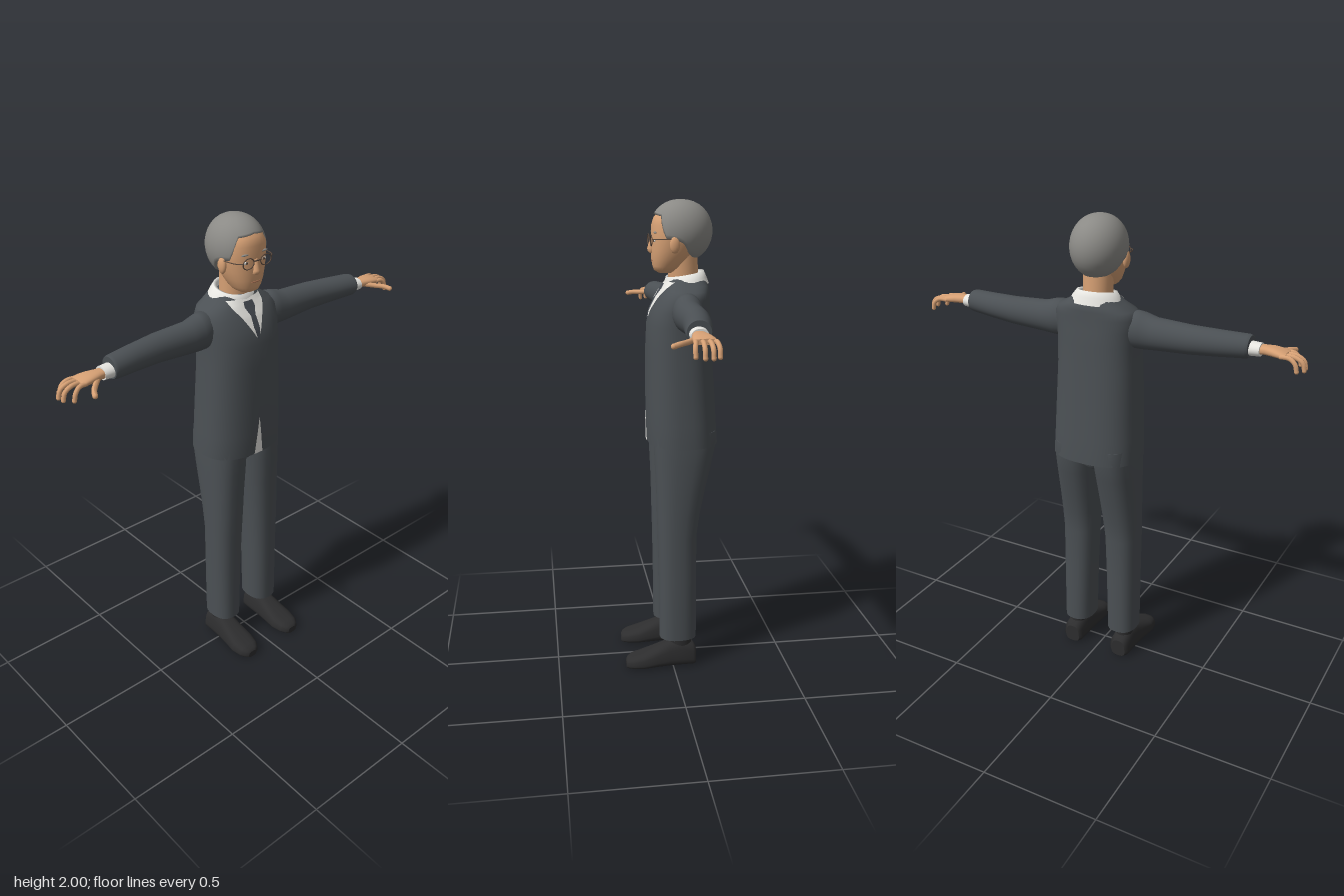
import * as THREE from 'three';

const mat = (name, color, side = THREE.FrontSide) => {
  const m = new THREE.MeshStandardMaterial({ color, side });
  m.name = name;
  return m;
};

// Superellipse coordinate
const sup = (t, n) => Math.sign(t) * Math.abs(t) ** (2 / n);

function surface(rows, closed) {
  // rows of [x, y, z] points, joined in quads
  const m = rows[0].length, index = [];
  for (let i = 0; i < rows.length - 1; i++) {
    for (let j = 0; j < (closed ? m : m - 1); j++) {
      const k = (j + 1) % m, a = i * m + j, b = i * m + k, c = a + m, d = b + m;
      index.push(a, c, b, b, c, d);
    }
  }
  const g = new THREE.BufferGeometry();
  g.setAttribute('position', new THREE.Float32BufferAttribute(rows.flat(2), 3));
  g.setIndex(index);
  g.computeVertexNormals();
  return g;
}

// Loft through rings [y, x, z, rx, rz] running up y, with flat ends
function loft(rings, { n = 2, sides = 28, caps = true } = {}) {
  const first = rings[0], last = rings[rings.length - 1];
  const tiny = r => [r[0], r[1], r[2], r[3] * 0.001, r[4] * 0.001];
  const near = r => [r[0], r[1], r[2], r[3] * 0.98, r[4] * 0.98];
  const all = caps ? [tiny(first), near(first), ...rings, near(last), tiny(last)] : rings;
  return surface(all.map(([y, x, z, rx, rz]) => Array.from({ length: sides }, (_, j) => {
    const t = j / sides * Math.PI * 2;
    return [x + rx * sup(Math.cos(t), n), y, z + rz * sup(Math.sin(t), n)];
  })), true);
}

// Arm loft: rings [x, y, z, ry, rz]
const loftX = (rings, o) => loft(rings.map(([x, y, ...r]) => [x, -y, ...r]), o).rotateZ(-Math.PI / 2);

// Move vertices by a rule
function warp(g, rule) {
  const p = g.attributes.position, v = new THREE.Vector3();
  for (let i = 0; i < p.count; i++) {
    rule(v.fromBufferAttribute(p, i));
    p.setXYZ(i, v.x, v.y, v.z);
  }
  g.computeVertexNormals();
  return g;
}

function mirrored(g) {
  const m = g.clone().scale(-1, 1, 1), ix = m.index.array;
  for (let i = 0; i < ix.length; i += 3) [ix[i], ix[i + 1]] = [ix[i + 1], ix[i]];
  m.computeVertexNormals();
  return m;
}

const jacketRings = [
  [1.0, 0, -0.055, 0.19, 0.148], [1.1, 0, -0.05, 0.186, 0.146], [1.2, 0, -0.047, 0.182, 0.143],
  [1.4, 0, -0.04, 0.175, 0.135], [1.5, 0, -0.041, 0.174, 0.131], [1.56, 0, -0.046, 0.178, 0.121],
  [1.61, 0, -0.057, 0.18, 0.107], [1.64, 0, -0.067, 0.162, 0.097], [1.66, 0, -0.072, 0.12, 0.09],
  [1.69, 0, -0.075, 0.085, 0.074],
];
const JACKET_N = 2.5;

function jacketZ(x, y) {
  let i = 0;
  while (i < jacketRings.length - 2 && jacketRings[i + 1][0] < y) i++;
  const a = jacketRings[i], b = jacketRings[i + 1], t = (y - a[0]) / (b[0] - a[0]);
  const [, , z, rx, rz] = a.map((v, k) => v + (b[k] - v) * t);
  return z + rz * Math.max(0, 1 - Math.abs(x / rx) ** JACKET_N) ** (1 / JACKET_N);
}

// Thin panel lying on the jacket front; rows [y, xMin, xMax] from top to bottom
function panel(rows, lift) {
  const out = [];
  for (let i = 0; i < rows.length - 1; i++) {
    for (let s = i ? 1 : 0; s <= 8; s++) {
      const [y, x0, x1] = rows[i].map((v, k) => v + (rows[i + 1][k] - v) * s / 8);
      out.push(Array.from({ length: 13 }, (_, j) => {
        const x = x0 + (x1 - x0) * j / 12;
        return [x, y, jacketZ(x, y) + lift];
      }));
    }
  }
  return surface(out, false);
}

// Hair: ellipsoid shell cut along a hairline (angle from the front, height)
function hairGeometry() {
  const line = [[0, 1.945], [0.7, 1.935], [0.85, 1.89], [0.95, 1.848], [1.3, 1.845], [1.55, 1.83],
    [1.8, 1.79], [2.2, 1.772], [3.15, 1.765]];
  const height = t => {
    const i = line.findIndex((p, k) => line[k + 1][0] >= t);
    const [a, b] = [line[i], line[i + 1]];
    return a[1] + (b[1] - a[1]) * (t - a[0]) / (b[0] - a[0]);
  };
  const rows = [], sides = 64, steps = 14;
  for (let s = -1; s <= steps; s++) {
    rows.push(Array.from({ length: sides }, (_, j) => {
      const t = Math.PI - j / sides * Math.PI * 2;
      const low = Math.asin((height(Math.abs(t)) - 1.875) / 0.125);
      const e = low + (Math.PI / 2 - 0.001 - low) * Math.max(s, 0) / steps;
      const k = s < 0 ? 0.84 : 1, r = Math.cos(e) ** 0.92 * k;
      return [0.112 * r * Math.sin(t), 1.875 + 0.125 * Math.sin(e), -0.05 + 0.13 * r * Math.cos(t)];
    }));
  }
  return surface(rows, true).rotateY(0);
}

export function createModel() {
  const D = THREE.DoubleSide;
  const suit = mat('suit grey', 0x4b5054), shirt = mat('shirt white', 0xe6e5e0, D);
  const tie = mat('tie slate', 0x43484f, D), skin = mat('skin', 0xd6a074);
  const hair = mat('hair grey', 0x8b8a86, D), shoe = mat('shoe black', 0x2d2d2e);
  const frame = mat('glasses frame', 0x5c4a3e), lip = mat('lips', 0xb07758);

  const model = new THREE.Group();
  model.name = 'manInSuit';
  const add = (name, g, m) => {
    const mesh = new THREE.Mesh(g, m);
    mesh.name = name;
    model.add(mesh);
    return mesh;
  };
  const both = (name, g, m) => {
    add(name + 'Left', g, m);
    add(name + 'Right', mirrored(g), m);
  };

  // Jacket, shirt front and tie
  add('jacket', loft(jacketRings, { n: JACKET_N, sides: 48 }), suit);
  add('shirtFront', panel([[1.675, -0.085, 0.085], [1.65, -0.078, 0.078], [1.6, -0.045, 0.045],
    [1.53, -0.006, 0.006]], 0.004), shirt);
  add('tie', panel([[1.665, -0.022, 0.022], [1.645, -0.026, 0.026], [1.615, -0.012, 0.012],
    [1.57, -0.014, 0.014], [1.525, -0.005, 0.005]], 0.008), tie);
  add('shirtTail', panel([[1.17, -0.001, 0.001], [1.002, -0.024, 0.02]], 0.003), shirt);
  const collar = loft([[1.65, 0, -0.07, 0.118, 0.096], [1.68, 0, -0.069, 0.1, 0.086],
    [1.705, 0, -0.067, 0.08, 0.078], [1.7, 0, -0.066, 0.066, 0.068], [1.66, 0, -0.066, 0.064, 0.066]],
  { caps: false });
  add('collar', warp(collar, v => { v.y -= (v.z + 0.07) * 0.17; }), shirt);

  // Sleeves and cuffs
  both('sleeve', loftX([[0.11, 1.56, -0.055, 0.06, 0.052], [0.17, 1.565, -0.052, 0.077, 0.062],
    [0.2, 1.563, -0.05, 0.075, 0.062], [0.25, 1.557, -0.048, 0.066, 0.058], [0.4, 1.558, -0.05, 0.058, 0.055],
    [0.52, 1.559, -0.036, 0.052, 0.053], [0.62, 1.56, -0.021, 0.047, 0.05], [0.632, 1.56, -0.02, 0.043, 0.046]]), suit);
  both('cuff', loftX([[0.61, 1.553, -0.018, 0.029, 0.036], [0.672, 1.553, -0.016, 0.026, 0.033]]), shirt);

  // Hands: palm, four drooping fingers, thumb
  both('palm', loftX([[0.65, 1.553, -0.014, 0.018, 0.024], [0.69, 1.555, -0.012, 0.018, 0.028],
    [0.72, 1.555, -0.013, 0.018, 0.036], [0.75, 1.553, -0.016, 0.016, 0.041], [0.775, 1.55, -0.018, 0.011, 0.042]],
  { n: 2.4 }), skin);
  const digit = (name, pts, r) => {
    const curve = new THREE.CatmullRomCurve3(pts.map(p => new THREE.Vector3(...p)));
    both(name, new THREE.TubeGeometry(curve, 10, r, 10), skin);
    const tip = new THREE.SphereGeometry(r, 10, 8);
    both(name + 'Tip', tip.translate(...pts[pts.length - 1]), skin);
  };
  [[0.016, 0.024, 0.815], [-0.007, -0.004, 0.843], [-0.03, -0.032, 0.846], [-0.051, -0.058, 0.825]]
    .forEach(([z0, z1, x], i) => digit('finger' + (i + 1), [[0.755, 1.55, z0],
      [0.755 + (x - 0.755) * 0.55, 1.55, (z0 + z1) / 2], [x - 0.008, 1.533, z1], [x, 1.505, z1]], 0.0088));
  digit('thumb', [[0.7, 1.548, 0.005], [0.735, 1.543, 0.04], [0.758, 1.541, 0.068], [0.77, 1.536, 0.092]], 0.0105);

  // Trousers
  both('trouserLeg', loft([[0.13, 0.11, -0.025, 0.066, 0.08], [0.4, 0.107, -0.024, 0.07, 0.081],
    [0.6, 0.103, -0.022, 0.075, 0.083], [0.7, 0.1, -0.028, 0.079, 0.092], [0.8, 0.097, -0.037, 0.083, 0.103],
    [0.92, 0.093, -0.048, 0.088, 0.12], [1.0, 0.09, -0.055, 0.091, 0.13], [1.06, 0.09, -0.055, 0.088, 0.13]],
  { n: 2.4 }), suit);
  add('trouserSeat', loft([[0.94, 0, -0.05, 0.03, 0.07], [0.97, 0, -0.052, 0.08, 0.105],
    [1.06, 0, -0.055, 0.12, 0.12]]), suit);

  // Shoes: rings [z, x, height, half width], flat soles, narrowing upward
  const shoeRings = [[-0.102, 0.12, 0.08, 0.035], [-0.088, 0.12, 0.1, 0.05], [-0.03, 0.12, 0.118, 0.054],
    [0.015, 0.121, 0.112, 0.055], [0.07, 0.122, 0.088, 0.058], [0.13, 0.124, 0.064, 0.062],
    [0.175, 0.125, 0.052, 0.052], [0.197, 0.125, 0.042, 0.036], [0.205, 0.125, 0.03, 0.022]];
  const shoeGeo = loft(shoeRings.map(([z, x, h, w]) => [z, x, -h / 2, w, h / 2]), { n: 3 }).rotateX(Math.PI / 2);
  both('shoe', warp(shoeGeo, v => { v.x = 0.122 + (v.x - 0.122) * (1.06 - 3 * v.y); }), shoe);
  both('ankle', loft([[0.06, 0.122, -0.035, 0.036, 0.05], [0.2, 0.115, -0.03, 0.04, 0.05]]), shoe);

  // Head and neck
  add('neck', loft([[1.63, 0, -0.065, 0.062, 0.064], [1.7, 0, -0.06, 0.059, 0.062],
    [1.79, 0, -0.055, 0.062, 0.064]]), skin);
  add('head', loft([[1.708, 0, 0.005, 0.03, 0.036], [1.718, 0, 0.008, 0.048, 0.052], [1.735, 0, 0.002, 0.063, 0.064],
    [1.765, 0, -0.008, 0.077, 0.079], [1.8, 0, -0.018, 0.09, 0.09], [1.85, 0, -0.026, 0.099, 0.097],
    [1.9, 0, -0.03, 0.099, 0.1], [1.93, 0, -0.04, 0.09, 0.1], [1.955, 0, -0.045, 0.07, 0.08],
    [1.98, 0, -0.05, 0.03, 0.035]], { n: 2.25 }), skin);
  add('hair', hairGeometry(), hair);
  add('nose', loft([[1.787, 0, 0.068, 0.011, 0.009], [1.795, 0, 0.07, 0.018, 0.016], [1.806, 0, 0.07, 0.015, 0.018],
    [1.85, 0, 0.066, 0.009, 0.009]], { sides: 14 }), skin);
  add('mouth', new THREE.SphereGeometry(1, 16, 8).scale(0.024, 0.004, 0.005).translate(0, 1.758, 0.067), lip);
  const ball = (name, s, p, m) => both(name, new THREE.SphereGeometry(1, 16, 12).scale(...s).translate(...p), m);
  ball('ear', [0.013, 0.034, 0.021], [0.1, 1.825, -0.012], skin);
  ball('eye', [0.014, 0.006, 0.004], [0.043, 1.84, 0.063], shirt);
  ball('iris', [0.0055, 0.0055, 0.003], [0.043, 1.84, 0.066], frame);
  ball('eyebrow', [0.022, 0.004, 0.006], [0.045, 1.871, 0.061], hair);

  // Glasses
  both('lensRim', new THREE.TorusGeometry(0.025, 0.0022, 8, 28).scale(1.1, 0.85, 1).translate(0.044, 1.84, 0.077), frame);
  add('glassesBridge', new THREE.BoxGeometry(0.034, 0.004, 0.004).translate(0, 1.846, 0.08), frame);
  const temple = new THREE.CatmullRomCurve3([[0.071, 1.845, 0.077], [0.09, 1.846, 0.06], [0.105, 1.846, -0.01]]
    .map(p => new THREE.Vector3(...p)));
  both('glassesTemple', new THREE.TubeGeometry(temple, 10, 0.0022, 6), frame);

  return model;
}
